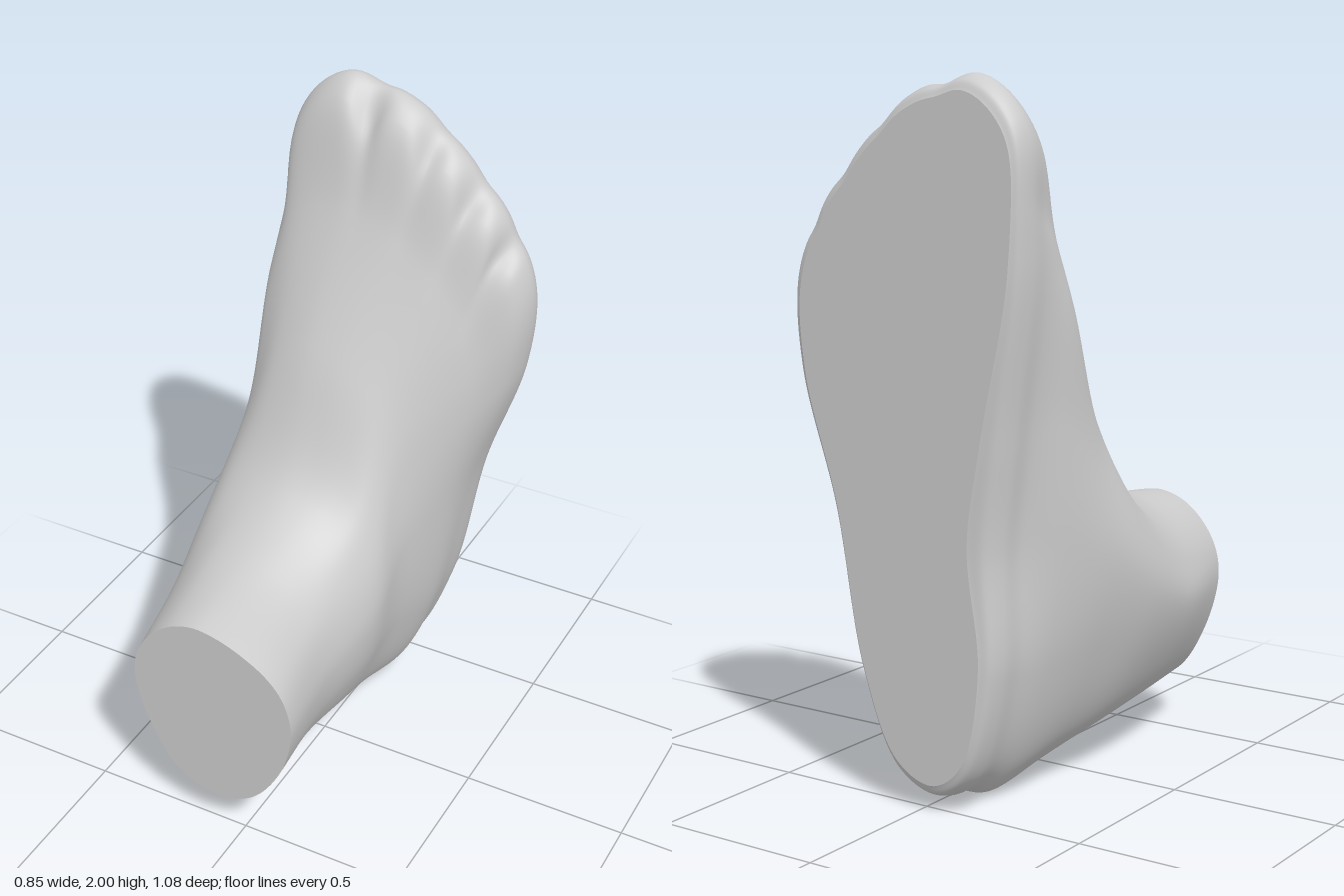
import * as THREE from 'three';

const COLS = 256, ROWS = 80, POINTS = 16;

// One cross-section parallel to the sole: 16 x,y pairs, from the heel up the
// outer side, across the toes and back down the inner side.
const ring = (z, xy) =>
  Array.from({ length: POINTS }, (_, i) => new THREE.Vector3(xy[2 * i], xy[2 * i + 1], z));

const outline = ring(-0.48, [
  -0.05, 0.035, 0.08, 0.09, 0.2, 0.35, 0.295, 0.82, 0.41, 1.2, 0.42, 1.46, 0.34, 1.64, 0.2, 1.81,
  0.03, 1.95, -0.18, 2.0, -0.318, 1.88, -0.34, 1.53, -0.28, 1.05, -0.245, 0.75, -0.245, 0.4, -0.16, 0.11]);
const instep = ring(-0.32, [
  -0.06, 0.0, 0.08, 0.07, 0.2, 0.34, 0.275, 0.8, 0.32, 1.1, 0.31, 1.25, 0.25, 1.4, 0.13, 1.53,
  0.0, 1.62, -0.14, 1.65, -0.27, 1.6, -0.345, 1.44, -0.34, 1.08, -0.325, 0.76, -0.28, 0.4, -0.17, 0.09]);
const upperInstep = ring(-0.15, [
  -0.07, 0.03, 0.06, 0.1, 0.165, 0.37, 0.195, 0.68, 0.18, 0.89, 0.15, 1.03, 0.1, 1.13, 0.03, 1.2,
  -0.06, 1.25, -0.15, 1.26, -0.25, 1.2, -0.32, 1.08, -0.37, 0.92, -0.395, 0.7, -0.335, 0.42, -0.205, 0.13]);
const ankle = ring(0.02, [
  -0.08, 0.07, 0.05, 0.13, 0.155, 0.33, 0.19, 0.52, 0.182, 0.64, 0.15, 0.74, 0.1, 0.82, 0.03, 0.87,
  -0.05, 0.9, -0.14, 0.91, -0.25, 0.88, -0.34, 0.82, -0.4, 0.72, -0.425, 0.58, -0.36, 0.36, -0.23, 0.15]);
const lowerLeg = ring(0.25, [
  -0.09, 0.11, 0.03, 0.15, 0.12, 0.3, 0.15, 0.45, 0.14, 0.55, 0.113, 0.63, 0.07, 0.69, 0.01, 0.74,
  -0.07, 0.775, -0.15, 0.78, -0.25, 0.75, -0.33, 0.68, -0.38, 0.59, -0.4, 0.49, -0.34, 0.32, -0.23, 0.17]);
const legEnd = ring(0.54, [
  -0.08, 0.13, 0.04, 0.165, 0.14, 0.3, 0.18, 0.45, 0.173, 0.53, 0.147, 0.595, 0.1, 0.648, 0.03, 0.692,
  -0.05, 0.724, -0.13, 0.735, -0.21, 0.71, -0.28, 0.65, -0.325, 0.57, -0.335, 0.48, -0.29, 0.32, -0.2, 0.18]);

const bump = (d, width) => Math.exp(-((d / width) ** 2));

// The outline drawn in towards the sole, more so under the inner arch
const inset = (z, k) => outline.map((p, i) => new THREE.Vector3(
  p.x * (1 - 0.08 * k) + 0.06 * k * bump(i - 12.7, 1.3), 1 + (p.y - 1) * (1 - 0.045 * k), z));

// Toe tops stay almost as full as the outline
const toeTops = outline.map((p, i) => p.clone().lerp(instep[i], 0.16).setZ(-0.41));

const rings = [inset(-0.54, 1), inset(-0.525, 0.4), outline, toeTops, instep, upperInstep, ankle, lowerLeg, legEnd];

// Grooves between the toes and beside the big toe: position along the ring, strength
const GROOVES = [[5.8, 0.6], [6.65, 0.75], [7.52, 0.75], [8.55, 1.15], [10.55, 0.35]];

function carveToes(p, t) {
  const depth = 0.06 * bump(p.z + 0.41, 0.055) + 0.012 * bump(p.z + 0.5, 0.06);
  const groove = GROOVES.reduce((sum, [at, k]) => sum + k * bump(t - at, 0.22), 0);
  const inward = new THREE.Vector3(-0.04 - p.x, 1.2 - p.y, 0).normalize();
  return p.addScaledVector(inward, depth * groove);
}

// Grid of points: smooth around each ring, then smooth from sole to leg
function buildGrid() {
  const loops = rings.map((r) => new THREE.CatmullRomCurve3(r, true));
  const grid = Array.from({ length: ROWS + 1 }, () => []);
  for (let j = 0; j < COLS; j++) {
    const u = j / COLS;
    const rib = new THREE.CatmullRomCurve3(loops.map((loop) => loop.getPoint(u)));
    for (let i = 0; i <= ROWS; i++) grid[i].push(carveToes(rib.getPoint(i / ROWS), u * POINTS));
  }
  return grid;
}

function skinGeometry(grid) {
  const index = [];
  for (let i = 0; i < ROWS; i++) {
    for (let j = 0; j < COLS; j++) {
      const k = (j + 1) % COLS;
      const a = i * COLS + j, b = i * COLS + k, c = a + COLS, d = b + COLS;
      index.push(a, b, c, b, d, c);
    }
  }
  const geometry = new THREE.BufferGeometry().setFromPoints(grid.flat());
  geometry.setIndex(index);
  geometry.computeVertexNormals();
  return geometry;
}

// Flat face closing one end of the skin
function capGeometry(row) {
  const shape = new THREE.Shape(row.map((p) => new THREE.Vector2(p.x, p.y)));
  return new THREE.ShapeGeometry(shape).translate(0, 0, row[0].z);
}

export function createModel() {
  const group = new THREE.Group();
  group.name = 'foot';
  const skin = new THREE.MeshStandardMaterial({ color: 0xcccccc });
  const flat = new THREE.MeshStandardMaterial({ color: 0xcccccc, side: THREE.DoubleSide });
  const add = (name, geometry, material) => {
    const mesh = new THREE.Mesh(geometry, material);
    mesh.name = name;
    group.add(mesh);
  };

  const grid = buildGrid();
  add('footAndAnkle', skinGeometry(grid), skin);
  add('sole', capGeometry(grid[0]), flat);
  add('legCut', capGeometry(grid[ROWS]), flat);
  return group;
}
